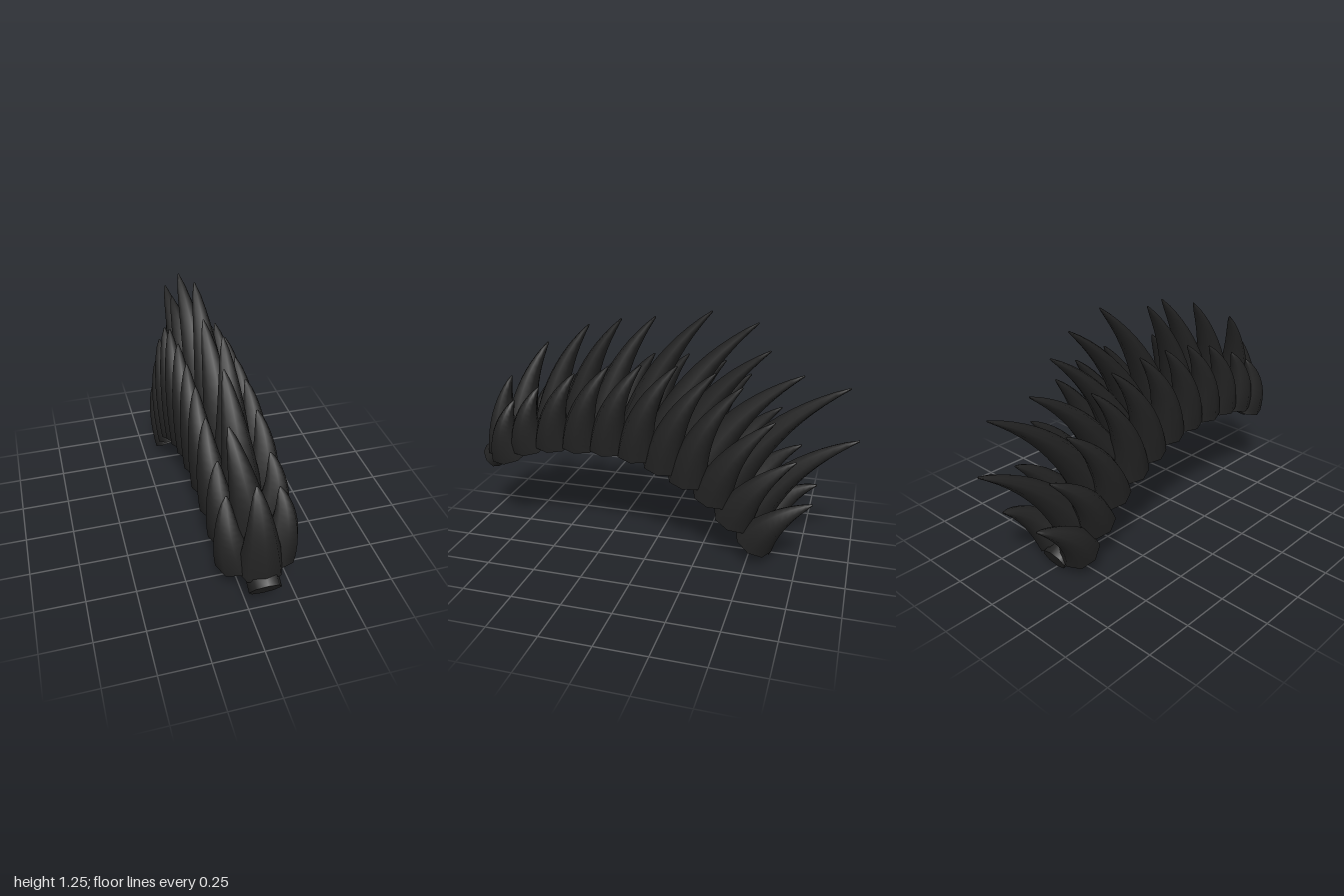
import * as THREE from 'three';

const SIDES = 8;

// Closed loft of elliptical rings along a curve; sizes(t) returns [half width, half depth]
function loft(curve, rings, sizes) {
  const pos = [], idx = [];
  const side = new THREE.Vector3(), depth = new THREE.Vector3();
  const X = new THREE.Vector3(1, 0, 0);
  const add = (p) => pos.push(p.x, p.y, p.z) / 3 - 1;
  const ringPoints = (t) => {
    const c = curve.getPoint(t), tan = curve.getTangent(t);
    side.copy(X).addScaledVector(tan, -X.dot(tan)).normalize();
    depth.crossVectors(tan, side);
    const [w, d] = sizes(t);
    return Array.from({ length: SIDES }, (_, j) => {
      const a = (j / SIDES) * Math.PI * 2;
      return c.clone().addScaledVector(side, Math.cos(a) * w).addScaledVector(depth, Math.sin(a) * d);
    });
  };
  for (let i = 0; i <= rings; i++) {
    ringPoints(i / rings).forEach(add);
    if (i === 0) continue;
    for (let j = 0; j < SIDES; j++) {
      const k = (j + 1) % SIDES, a = (i - 1) * SIDES, b = i * SIDES;
      idx.push(a + j, a + k, b + j, a + k, b + k, b + j);
    }
  }
  // End caps with their own vertices, so the rims stay sharp
  for (const t of [0, 1]) {
    const mid = add(curve.getPoint(t));
    const first = mid + 1;
    ringPoints(t).forEach(add);
    for (let j = 0; j < SIDES; j++) {
      const k = (j + 1) % SIDES;
      if (t === 0) idx.push(mid, first + k, first + j);
      else idx.push(mid, first + j, first + k);
    }
  }
  const g = new THREE.BufferGeometry();
  g.setAttribute('position', new THREE.Float32BufferAttribute(pos, 3));
  g.setIndex(idx);
  g.computeVertexNormals();
  return g;
}

// Spike swept backwards from base to tip, bowed forward and outward
function spikeGeometry(base, tip, width, depth, outward) {
  const chord = tip.clone().sub(base);
  const ctrl = base.clone().add(tip).multiplyScalar(0.5);
  ctrl.z += chord.y * 0.17;
  ctrl.y -= chord.z * 0.17;
  ctrl.x += outward;
  const curve = new THREE.QuadraticBezierCurve3(base, ctrl, tip);
  return loft(curve, 12, (t) => {
    const s = 1 - t;
    return [width * Math.pow(s, 0.7) + 0.004, depth * Math.pow(s, 0.9) + 0.004];
  });
}

export function createModel() {
  const model = new THREE.Group();
  model.name = 'spikedCrest';
  const black = new THREE.MeshStandardMaterial({ color: 0x222222 });
  black.name = 'charcoal black';
  const put = (name, geometry, parent) => {
    const m = new THREE.Mesh(geometry, black);
    m.name = name;
    parent.add(m);
  };

  // Curved spine, [z, y] from front to back
  const path = [[0.955, 0.37], [0.76, 0.485], [0.52, 0.54], [0.25, 0.545], [0.05, 0.515],
    [-0.2, 0.415], [-0.41, 0.255], [-0.52, 0.115], [-0.56, 0.08], [-0.62, 0.055]];
  const spine = new THREE.CatmullRomCurve3(path.map(([z, y]) => new THREE.Vector3(0, y, z)));
  put('spine', loft(spine, 36, (t) => [0.075, 0.068 - 0.015 * Math.max(0, t - 0.8) * 5]), model);

  // Middle row: base z, base y, tip z, tip y, tip x
  const middle = [
    [0.86, 0.43, 0.81, 0.84, -0.01], [0.76, 0.49, 0.62, 1.02, -0.08],
    [0.59, 0.53, 0.37, 1.14, -0.03], [0.44, 0.55, 0.18, 1.19, 0.02],
    [0.3, 0.55, 0.02, 1.2, -0.03], [0.13, 0.54, -0.27, 1.25, 0],
    [0.0, 0.5, -0.49, 1.2, -0.03], [-0.11, 0.47, -0.56, 1.08, 0.02],
    [-0.22, 0.41, -0.72, 0.96, -0.02], [-0.35, 0.32, -0.94, 0.92, -0.01],
    [-0.48, 0.19, -1.0, 0.67, 0.01],
  ];
  const middleRow = new THREE.Group();
  middleRow.name = 'middleSpikes';
  model.add(middleRow);
  for (const [bz, by, tz, ty, tx] of middle) {
    put('middleSpike', spikeGeometry(new THREE.Vector3(0, by, bz),
      new THREE.Vector3(tx, ty, tz), 0.105, 0.1, 0), middleRow);
  }

  // Side rows, mirrored, flaring out of the spine: base z, base y, tip z, tip y
  const flank = [
    [0.8, 0.44, 0.74, 0.75], [0.68, 0.5, 0.6, 0.83], [0.54, 0.53, 0.4, 0.92],
    [0.39, 0.54, 0.22, 0.97], [0.24, 0.54, 0.05, 0.99], [0.09, 0.52, -0.13, 1.0],
    [-0.05, 0.47, -0.32, 0.98], [-0.18, 0.41, -0.45, 0.92], [-0.31, 0.33, -0.61, 0.76],
    [-0.42, 0.22, -0.72, 0.57], [-0.53, 0.11, -0.81, 0.36],
  ];
  for (const [name, s] of [['left', 1], ['right', -1]]) {
    const row = new THREE.Group();
    row.name = name + 'Spikes';
    model.add(row);
    for (const [bz, by, tz, ty] of flank) {
      put(name + 'Spike', spikeGeometry(new THREE.Vector3(s * 0.092, by, bz),
        new THREE.Vector3(s * 0.12, ty, tz), 0.092, 0.1, s * 0.045), row);
    }
  }
  return model;
}
